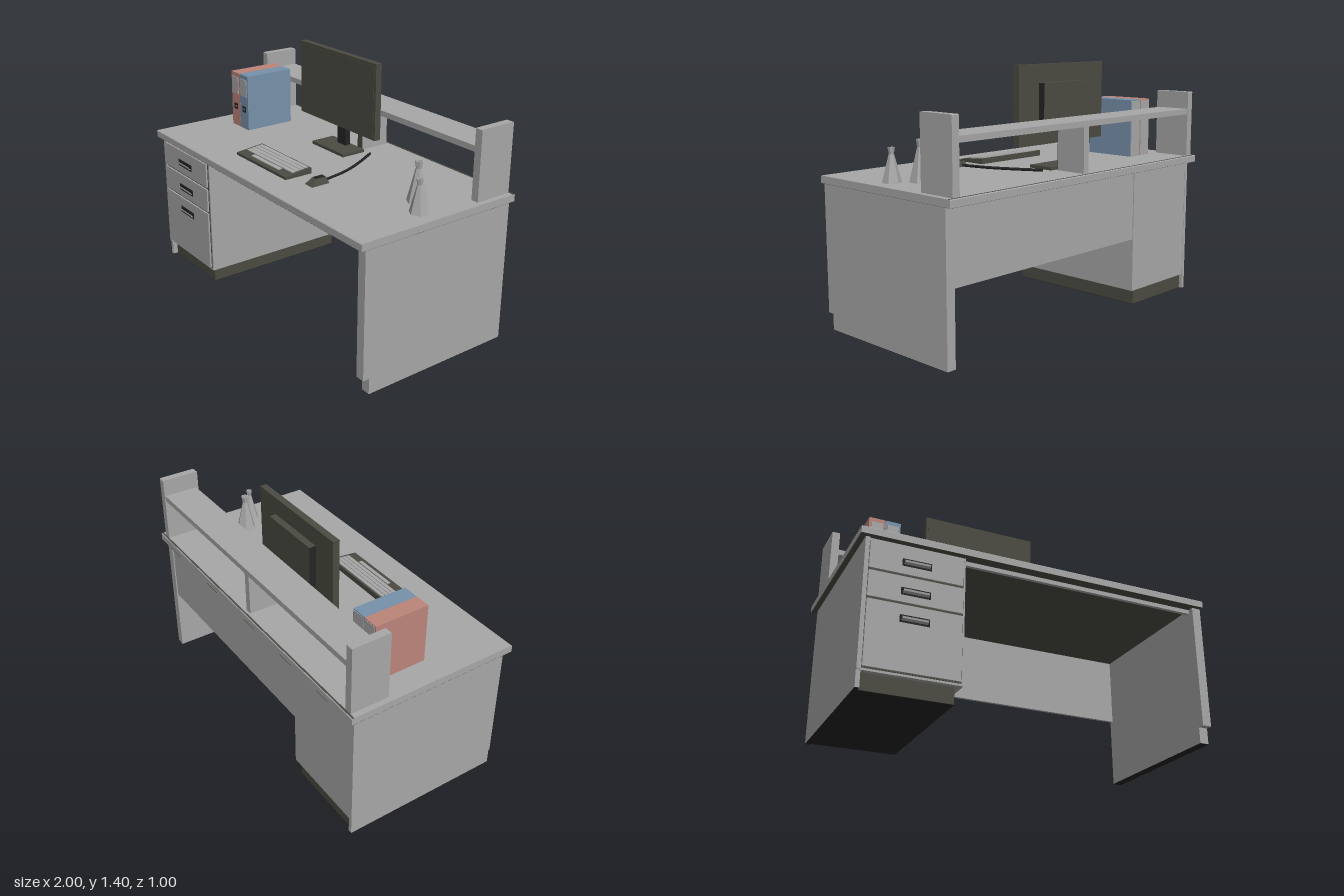
import * as THREE from 'three';

const mat = (name, color, side = THREE.FrontSide) => {
  const m = new THREE.MeshStandardMaterial({ color, side });
  m.name = name;
  return m;
};

export function createModel() {
  const root = new THREE.Group();
  root.name = 'officeDesk';
  const grey = mat('laminateGrey', 0xa7a7a7, THREE.DoubleSide);
  const dark = mat('charcoal', 0x4b4b43);
  const black = mat('black', 0x242424);
  const red = mat('binderRed', 0xbb857a);
  const blue = mat('binderBlue', 0x7791aa);

  const add = (name, geo, m, parent = root) => {
    const mesh = new THREE.Mesh(geo, m);
    mesh.name = name;
    parent.add(mesh);
    return mesh;
  };
  // Box given by its extents on each axis
  const box = (name, m, x0, x1, y0, y1, z0, z1, parent = root) => {
    const g = new THREE.BoxGeometry(x1 - x0, y1 - y0, z1 - z0);
    g.translate((x0 + x1) / 2, (y0 + y1) / 2, (z0 + z1) / 2);
    return add(name, g, m, parent);
  };
  // Side profile of [z, y] points, extruded from x0 to x1
  const slab = (name, m, points, x0, x1, parent = root) => {
    const shape = new THREE.Shape(points.map(([z, y]) => new THREE.Vector2(-z, y)));
    const g = new THREE.ExtrudeGeometry(shape, { depth: x1 - x0, bevelEnabled: false });
    g.rotateY(Math.PI / 2).translate(x0, 0, 0);
    return add(name, g, m, parent);
  };

  // Desk top with eased long edges, dark underside and dark rear trim
  slab('deskTop', grey, [[-0.5, 0.79], [0.5, 0.79], [0.5, 0.826],
    [0.496, 0.83], [-0.496, 0.83], [-0.5, 0.826]], -1, 1);
  box('deskUnderside', dark, -1, 1, 0.789, 0.79, -0.5, 0.5);
  box('rearTrim', dark, -1, 1, 0.829, 0.831, -0.496, -0.486);

  // End panels with a toe notch at the front and dark feet
  const endPanel = (name, x0, x1, toe) => {
    slab(name, grey, [[-0.465, 0.002], [toe, 0.002], [toe, 0.09],
      [0.474, 0.09], [0.474, 0.789], [-0.465, 0.789]], x0, x1);
    box('panelFoot', black, x0, x1, 0, 0.002, -0.465, toe);
  };
  endPanel('leftEndPanel', 0.945, 0.997, 0.437);
  endPanel('rightEndPanel', -0.97, -0.948, 0.467);
  box('modestyPanel', grey, -0.44, 0.945, 0.395, 0.789, -0.458, -0.44);
  box('frontRail', grey, -0.44, 0.945, 0.765, 0.789, 0.42, 0.44);

  // Drawer pedestal
  const pedestal = new THREE.Group();
  pedestal.name = 'drawerPedestal';
  root.add(pedestal);
  box('pedestalBody', grey, -0.948, -0.438, 0.09, 0.789, -0.463, 0.465, pedestal);
  box('plinth', dark, -0.948, -0.472, 0.002, 0.09, -0.445, 0.437, pedestal);
  box('plinthUnderside', black, -0.948, -0.472, 0, 0.002, -0.445, 0.437, pedestal);
  box('drawerGap', dark, -0.95, -0.448, 0.102, 0.77, 0.465, 0.468, pedestal);
  for (const [y0, y1, h] of [[0.622, 0.765, 0.685], [0.469, 0.609, 0.527], [0.108, 0.456, 0.38]]) {
    box('drawerFront', grey, -0.945, -0.453, y0, y1, 0.468, 0.478, pedestal);
    box('handleRecess', black, -0.778, -0.624, h - 0.019, h + 0.021, 0.478, 0.48, pedestal);
    // Cup pull, open at the top
    slab('handle', grey, [[0.48, h - 0.01], [0.492, h - 0.002], [0.494, h + 0.008],
      [0.49, h + 0.008], [0.488, h], [0.48, h - 0.005]], -0.768, -0.634, pedestal);
  }

  // Raised shelf on three supports
  for (const s of [-1, 1]) {
    slab('shelfUpright', grey, [[-0.485, 0.83], [-0.265, 0.83], [-0.265, 1.209], [-0.268, 1.212],
      [-0.481, 1.212], [-0.485, 1.208]], s * 0.947 - 0.022, s * 0.947 + 0.022);
  }
  box('shelfBoard', grey, -0.925, 0.925, 1.08, 1.112, -0.48, -0.28);
  box('shelfMiddleSupport', grey, -0.02, 0.02, 0.83, 1.08, -0.47, -0.29);
  box('supportFrontEdge', dark, -0.02, 0.02, 0.83, 1.08, -0.29, -0.287);

  // Monitor
  const monitor = new THREE.Group();
  monitor.name = 'monitor';
  root.add(monitor);
  box('screenCase', dark, -0.433, 0.255, 0.97, 1.4, -0.222, -0.184, monitor);
  box('screen', dark, -0.418, 0.24, 0.985, 1.385, -0.184, -0.182, monitor);
  box('monitorBack', [black, black, dark, black, dark, dark],
    -0.28, 0.1, 1.06, 1.302, -0.26, -0.222, monitor);
  box('monitorNeck', black, -0.13, -0.055, 0.84, 1.08, -0.258, -0.224, monitor);
  box('monitorBase', dark, -0.237, 0.058, 0.831, 0.848, -0.272, -0.12, monitor);

  // Keyboard, sloping up toward the back
  const keyboard = new THREE.Group();
  keyboard.name = 'keyboard';
  root.add(keyboard);
  const top = z => 0.845 + (0.335 - z) * 0.1;
  slab('keyboardCase', dark, [[0.335, 0.83], [0.335, top(0.335)], [0.165, top(0.165)], [0.165, 0.83]],
    -0.337, 0.15, keyboard);
  for (let i = 0; i < 5; i++) {
    const z0 = 0.176 + i * 0.0265 + (i === 4 ? 0.004 : 0), z1 = z0 + 0.023;
    const [x0, x1] = i === 4 ? [-0.225, 0.045] : [-0.318, 0.132];
    slab('keyRow', grey, [[z1, top(z1)], [z1, top(z1) + 0.005], [z0, top(z0) + 0.005], [z0, top(z0)]],
      x0, x1, keyboard);
  }

  // Mouse with tapered body, and its cable
  const mouseGeo = new THREE.BoxGeometry(0.066, 0.034, 0.112);
  const p = mouseGeo.attributes.position;
  for (let i = 0; i < p.count; i++) {
    if (p.getY(i) > 0) p.setXYZ(i, p.getX(i) * 0.5, p.getY(i), p.getZ(i) * 0.6 - 0.012);
  }
  mouseGeo.computeVertexNormals();
  add('mouse', mouseGeo, dark).position.set(0.287, 0.847, 0.228);
  box('mouseButtons', black, 0.273, 0.301, 0.863, 0.867, 0.186, 0.245);
  const path = new THREE.CatmullRomCurve3([[0.288, 0.18], [0.25, 0.01], [0.19, -0.13], [0.115, -0.27]]
    .map(([x, z]) => new THREE.Vector3(x, 0.839, z)));
  add('mouseCable', new THREE.TubeGeometry(path, 16, 0.008, 6), black);

  // Ring binders
  [red, blue].forEach((m, i) => {
    const binder = new THREE.Group();
    binder.name = 'binder';
    binder.position.x = -0.8 + i * 0.091;
    root.add(binder);
    box('binderCover', m, -0.045, 0.045, 0.83, 1.166, -0.262, 0.05, binder);
    box('binderPages', grey, -0.04, 0.04, 0.832, 1.16, -0.265, -0.262, binder);
    box('binderLabel', grey, -0.033, 0.033, 1.035, 1.14, 0.05, 0.055, binder);
    box('binderGripRing', black, -0.018, 0.018, 0.935, 0.972, 0.05, 0.053, binder);
    box('binderGrip', m, -0.005, 0.005, 0.948, 0.959, 0.053, 0.055, binder);
  });

  // Six-sided vases
  for (const [x, z, r, h] of [[0.775, -0.037, 0.059, 0.216], [0.885, 0.054, 0.051, 0.178]]) {
    const profile = [[0, 0], [r, 0], [r * 0.26, h * 0.82], [r * 0.36, h], [r * 0.24, h], [r * 0.18, h * 0.85], [0, h * 0.8]];
    const geo = new THREE.LatheGeometry(profile.map(([a, b]) => new THREE.Vector2(a, b)), 6).toNonIndexed();
    geo.computeVertexNormals();
    add('vase', geo, grey).position.set(x, 0.83, z);
  }

  return root;
}
